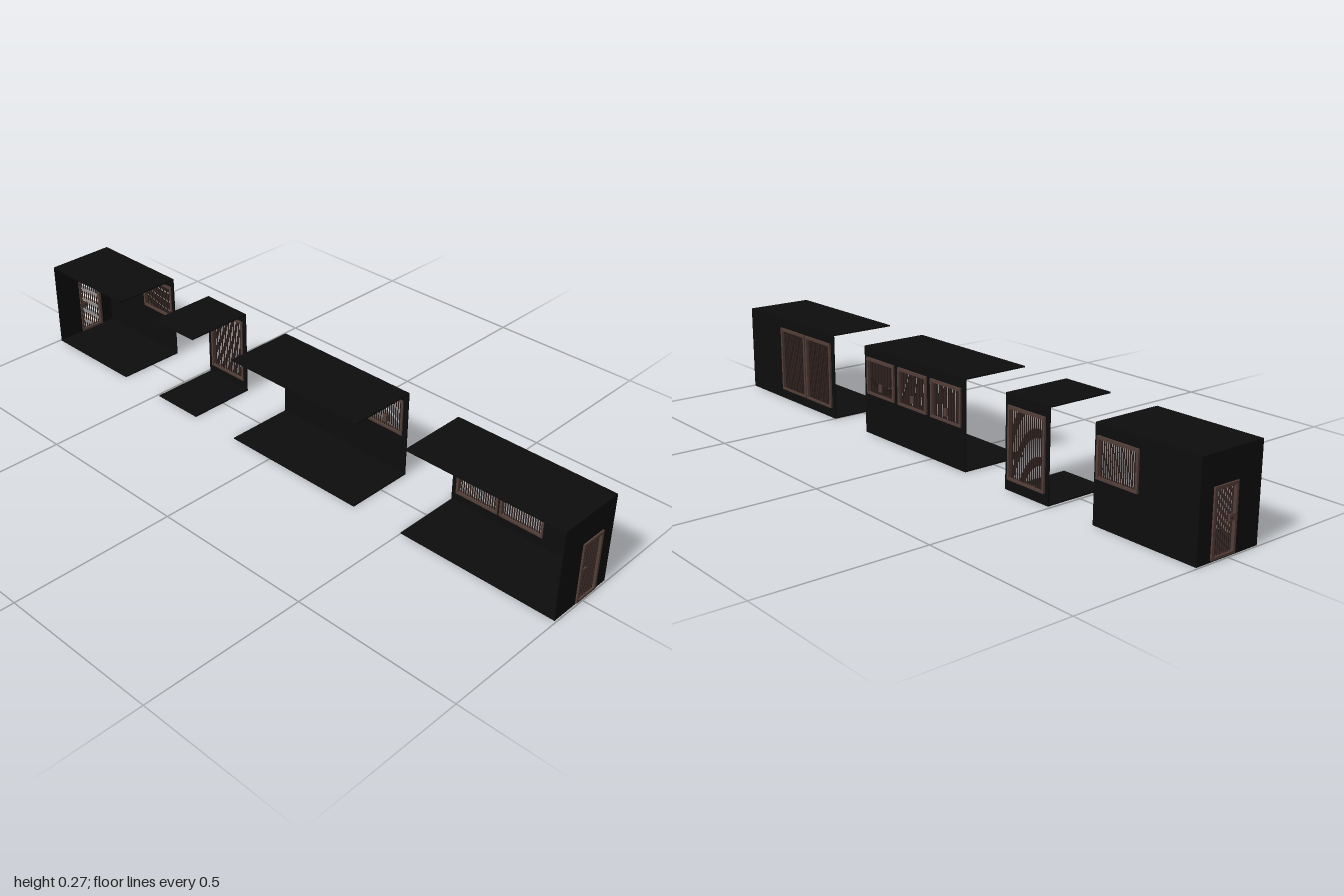
import * as THREE from 'three';

const wallMat = new THREE.MeshStandardMaterial({ name: 'black panel', color: 0x0d0d0d });
const frameMat = new THREE.MeshStandardMaterial({ name: 'brown frame', color: 0x523e37 });
const barMat = new THREE.MeshStandardMaterial({ name: 'dark brown bar', color: 0x352622 });

const T = 0.004;               // panel thickness
const H = 0.271;               // module height
const FRONT = 0.112, BACK = -0.105;

function box(parent, name, mat, x0, x1, y0, y1, z0, z1) {
  const mesh = new THREE.Mesh(new THREE.BoxGeometry(x1 - x0, y1 - y0, z1 - z0), mat);
  mesh.position.set((x0 + x1) / 2, (y0 + y1) / 2, (z0 + z1) / 2);
  mesh.name = name;
  parent.add(mesh);
  return mesh;
}

// Upright panel from u0 to u1 with rectangular openings, its thickness running +z
function wall(name, u0, u1, openings) {
  const rect = (P, a, b, c, d) => {
    const p = new P();
    p.moveTo(a, c); p.lineTo(b, c); p.lineTo(b, d); p.lineTo(a, d); p.closePath();
    return p;
  };
  const shape = rect(THREE.Shape, u0, u1, 0, H);
  for (const o of openings) {
    shape.holes.push(rect(THREE.Path, o[0] + 0.003, o[1] - 0.003, o[2] + 0.003, o[3] - 0.003));
  }
  const mesh = new THREE.Mesh(new THREE.ExtrudeGeometry(shape, { depth: T, bevelEnabled: false }), wallMat);
  mesh.name = name;
  return mesh;
}

// Frame with a grille of fine upright bars; local z runs from outside (-) to inside (+)
function grille(name, u0, u1, y0, y1) {
  const g = new THREE.Group();
  g.name = name;
  const w = 0.007, z0 = -0.006, z1 = T + 0.003;
  box(g, 'frameSide', frameMat, u0, u0 + w, y0, y1, z0, z1);
  box(g, 'frameSide', frameMat, u1 - w, u1, y0, y1, z0, z1);
  box(g, 'frameTop', frameMat, u0 + w, u1 - w, y1 - w - 0.002, y1, z0, z1);
  box(g, 'frameBottom', frameMat, u0 + w, u1 - w, y0, y0 + w, z0, z1);
  const n = Math.round((u1 - u0 - 2 * w) / 0.0075);
  for (let i = 1; i < n; i++) {
    const u = u0 + w + (u1 - u0 - 2 * w) * i / n;
    box(g, 'bar', barMat, u - 0.001, u + 0.001, y0 + w, y1 - w - 0.002, -0.002, 0.002);
  }
  return g;
}

const SMALL = [0.127, 0.24], TALL = [0.032, 0.24];
const modules = [
  { name: 'leftEndModule', x: [-0.995, -0.655], end: -1, h: SMALL, windows: [[-0.805, -0.665]] },
  { name: 'narrowModule', x: [-0.49, -0.32], end: 0, h: TALL, windows: [[-0.477, -0.333]] },
  { name: 'middleModule', x: [-0.15, 0.33], end: 0, h: SMALL, latch: true,
    windows: [[-0.134, 0.002], [0.022, 0.158], [0.178, 0.314]] },
  { name: 'rightEndModule', x: [0.5, 0.995], end: 1, h: TALL, windows: [[0.515, 0.656], [0.662, 0.803]] },
];

function buildModule(m) {
  const g = new THREE.Group();
  g.name = m.name;
  const [x0, x1] = m.x;
  box(g, 'floor', wallMat, x0, x1, 0, T, BACK, FRONT);
  box(g, 'roof', wallMat, x0, x1, H - T, H, BACK, FRONT);

  // Back wall and its barred windows
  const openings = m.windows.map(([a, b]) => [a, b, ...m.h]);
  const back = new THREE.Group();
  back.name = 'backSide';
  back.position.z = BACK;
  back.add(wall('backWall', x0, x1, openings));
  for (const o of openings) {
    back.add(grille('window', ...o));
    if (m.latch) {
      const c = (o[0] + o[1]) / 2 + 0.002;
      box(back, 'latch', frameMat, c - 0.007, c + 0.007, 0.144, 0.166, -0.004, 0.006);
    }
  }
  g.add(back);

  // End wall with a barred door
  if (m.end) {
    const s = m.end;
    const side = new THREE.Group();
    side.name = 'endSide';
    // outside (-z local) faces away from the middle; u maps to s * z
    side.rotation.y = -s * Math.PI / 2;
    side.position.x = s * 0.995;
    const span = (a, b) => (s > 0 ? [a, b] : [-b, -a]);
    const door = [...span(-0.058, 0.026), 0.005, 0.188];
    side.add(wall('endWall', ...span(BACK, FRONT), [door]));
    const leaf = grille('door', ...door);
    leaf.position.z = 0.001;
    side.add(leaf);
    const [h0, h1] = span(0.001, 0.024);
    box(side, 'lockPlate', frameMat, h0, h1, 0.089, 0.107, -0.004, 0.006);
    const [k0, k1] = span(0.004, 0.01);
    box(side, 'handle', barMat, k0, k1, 0.095, 0.101, -0.005, 0.007);
    g.add(side);
  }
  return g;
}

export function createModel() {
  const root = new THREE.Group();
  root.name = 'modularCabins';
  for (const m of modules) root.add(buildModule(m));
  return root;
}
